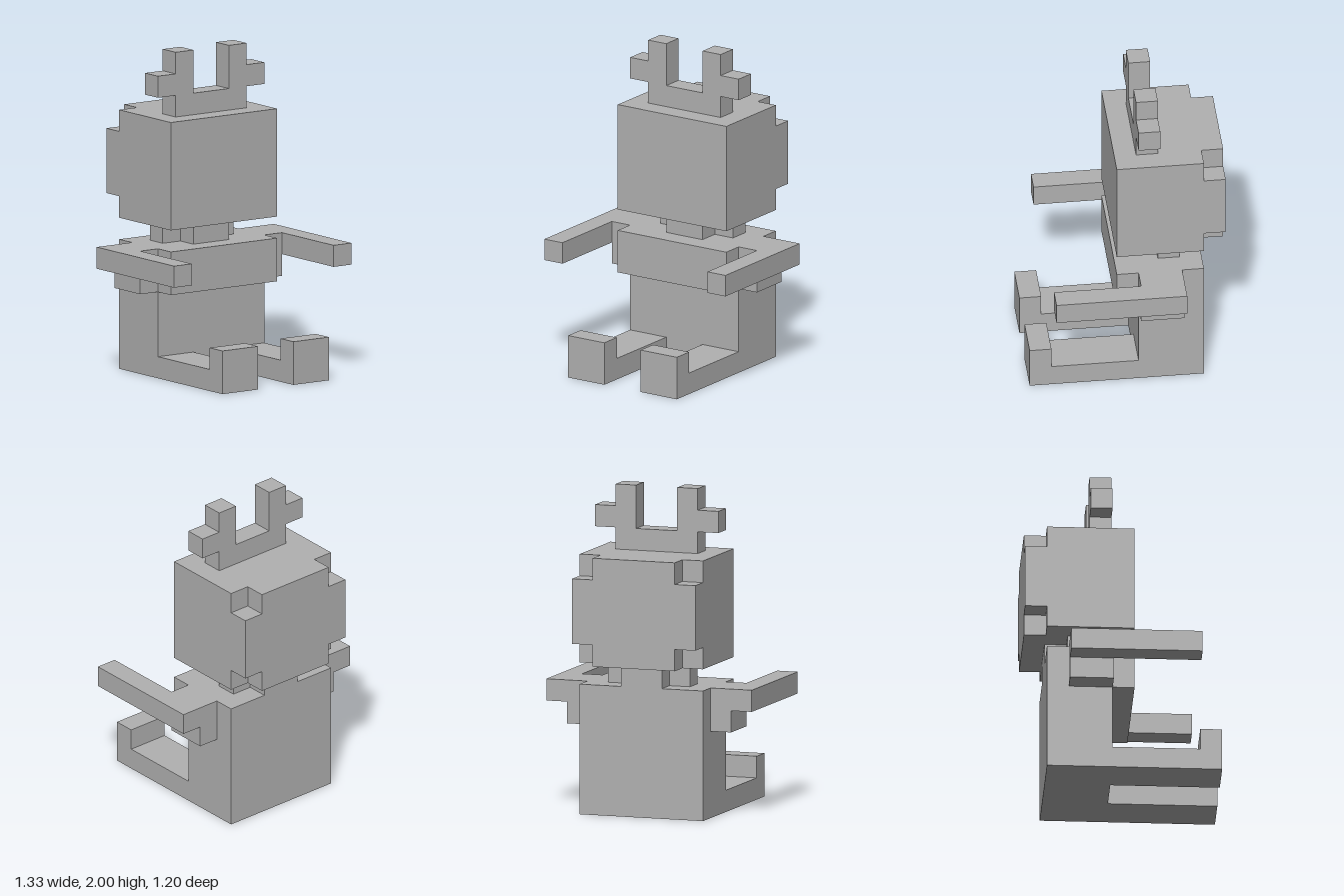
import * as THREE from 'three';

const U = 2 / 15; // one block of the grid

export function createModel() {
  const model = new THREE.Group();
  model.name = 'antleredBlockFigure';
  const grey = new THREE.MeshStandardMaterial({ color: 0xb0b0b0 });
  grey.name = 'grey';

  const add = (name, geometry) => {
    const mesh = new THREE.Mesh(geometry, grey);
    mesh.name = name;
    model.add(mesh);
    return mesh;
  };

  // Box given by its lower and upper limits in blocks
  const box = (name, x0, x1, y0, y1, z0, z1) => {
    const geometry = new THREE.BoxGeometry((x1 - x0) * U, (y1 - y0) * U, (z1 - z0) * U);
    geometry.translate(((x0 + x1) / 2) * U, ((y0 + y1) / 2) * U, ((z0 + z1) / 2) * U);
    return add(name, geometry);
  };

  // Left part and its mirror image on the right
  const pair = (name, x0, x1, ...rest) => {
    box(name + 'Left', x0, x1, ...rest);
    box(name + 'Right', -x1, -x0, ...rest);
  };

  // Symmetric outline from its +x half (listed bottom to top), extruded along z
  const extrudeHalf = (half, depth) => {
    const mirrored = half.map(([x, y]) => [-x, y]).reverse();
    const points = [...half, ...mirrored].map(([x, y]) => new THREE.Vector2(x * U, y * U));
    return new THREE.ExtrudeGeometry(new THREE.Shape(points), { depth: depth * U, bevelEnabled: false });
  };

  // Torso with the chest block in front
  box('torso', -3, 3, 0, 6, -3.5, -0.5);
  box('chest', -3, 3, 4, 6, -0.5, 0.5);

  // Outstretched arms
  pair('shoulder', 3, 4, 4, 6, -2.5, -0.5);
  pair('upperArm', 4, 5, 5, 6, -2.5, -0.5);
  pair('forearm', 4, 5, 5, 6, -0.5, 3.5);

  // Seated legs with upturned feet
  pair('leg', 1, 3, 0, 1, -0.5, 3.5);
  pair('foot', 1, 3, 0, 2, 3.5, 4.5);

  // Cross-shaped neck, extruded upwards
  const neck = extrudeHalf([[1, -1.5], [1, -0.5], [2, -0.5], [2, 0.5], [1, 0.5], [1, 1.5]], 1);
  neck.rotateX(-Math.PI / 2);
  add('neck', neck).position.set(0, 6 * U, -2 * U);

  // Head, with the four rear corners cut away
  box('head', -3, 3, 7, 12, -3.5, 0.5);
  const back = extrudeHalf([[2, 7], [2, 8], [3, 8], [3, 11], [2, 11], [2, 12]], 1);
  add('headBack', back).position.z = -4.5 * U;

  // Branched antlers
  const antlers = extrudeHalf(
    [[2, 12], [2, 13], [3, 13], [3, 14], [2, 14], [2, 15], [1, 15], [1, 13]], 1);
  add('antlers', antlers).position.z = -1.5 * U;

  return model;
}
